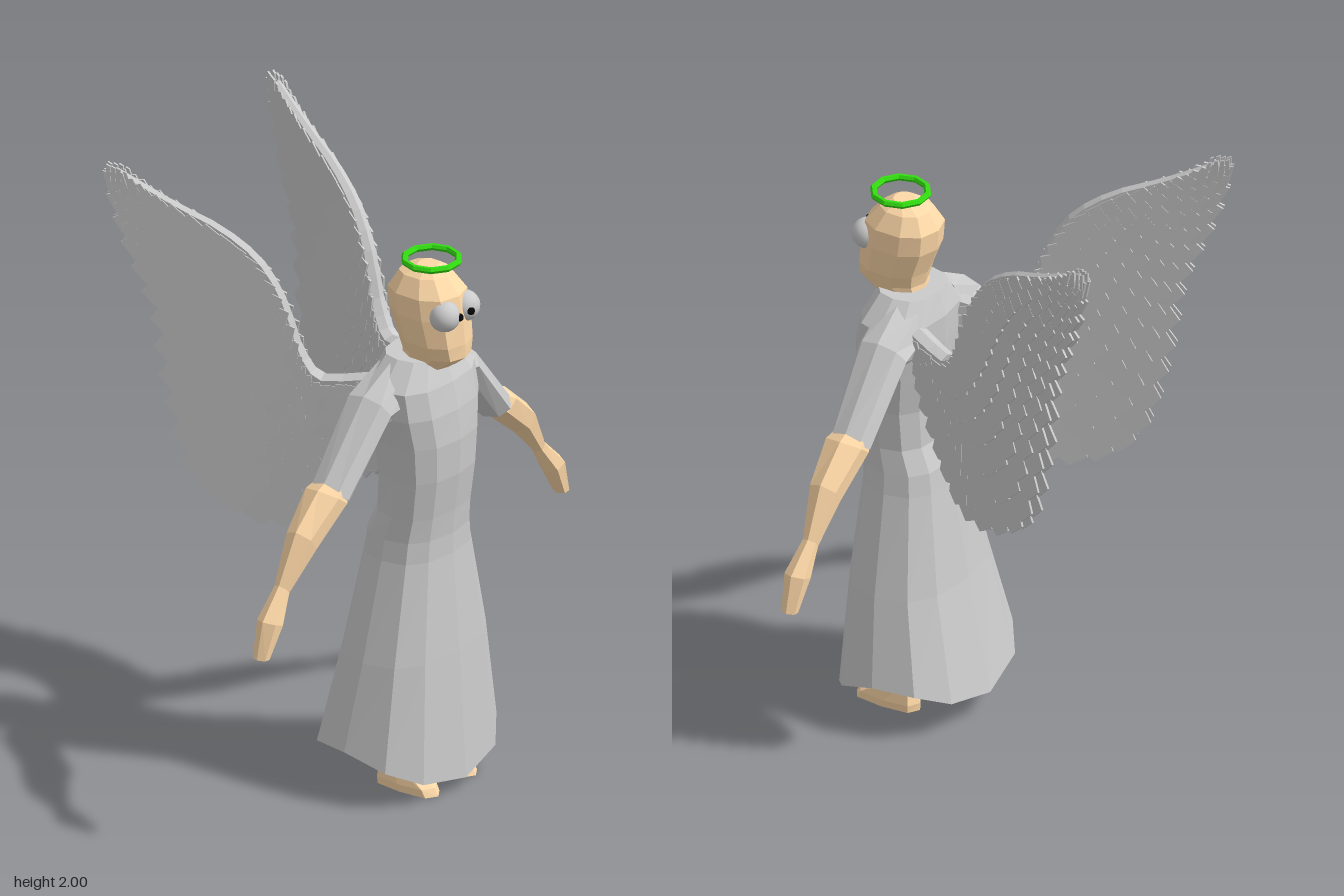
import * as THREE from 'three';
import { mergeGeometries } from 'three/addons/utils/BufferGeometryUtils.js';

const V = (x, y, z) => new THREE.Vector3(x, y, z);
const mat = (color, side = THREE.FrontSide) =>
  new THREE.MeshStandardMaterial({ color, flatShading: true, side });
const grey = mat(0xcccccc), cloth = mat(0xcccccc, THREE.DoubleSide);
const skin = mat(0xffd9a8), green = mat(0x33dd11), black = mat(0x080808);

function add(group, name, geometry, material) {
  const mesh = new THREE.Mesh(geometry, material);
  mesh.name = name;
  group.add(mesh);
  return mesh;
}

// Skin a list of equal-length rings, with optional fan caps
function loft(rings, capStart = true, capEnd = true) {
  const pos = [], n = rings[0].length;
  const tri = (...pts) => pts.forEach((p) => pos.push(p.x, p.y, p.z));
  for (let i = 0; i < rings.length - 1; i++) {
    for (let j = 0; j < n; j++) {
      const k = (j + 1) % n, lo = rings[i], hi = rings[i + 1];
      tri(lo[j], lo[k], hi[k]);
      tri(lo[j], hi[k], hi[j]);
    }
  }
  const a = rings[0], b = rings[rings.length - 1];
  for (let j = 1; j < n - 1; j++) {
    if (capStart) tri(a[0], a[j + 1], a[j]);
    if (capEnd) tri(b[0], b[j], b[j + 1]);
  }
  const g = new THREE.BufferGeometry();
  g.setAttribute('position', new THREE.Float32BufferAttribute(pos, 3));
  g.computeVertexNormals();
  return g;
}

// Horizontal superellipse ring; y may depend on the point index
function ring(cx, y, w, zf, zb, n, pow = 0.8) {
  const soft = (v) => Math.sign(v) * Math.pow(Math.abs(v) < 1e-6 ? 0 : Math.abs(v), pow);
  return Array.from({ length: n }, (_, j) => {
    const a = (j / n) * Math.PI * 2;
    return V(cx + w * soft(Math.sin(a)), typeof y === 'function' ? y(j) : y,
      (zf + zb) / 2 + ((zf - zb) / 2) * soft(Math.cos(a)));
  });
}

// Ring spanning two edge points, with a given half depth in z
function limbRing([ux, uy, lx, ly, z, hz], n) {
  return Array.from({ length: n }, (_, j) => {
    const a = (j / n) * Math.PI * 2, c = Math.cos(a) / 2;
    return V((ux + lx) / 2 + (ux - lx) * c, (uy + ly) / 2 + (uy - ly) * c, z + hz * Math.sin(a));
  });
}

// Mirror a non-indexed geometry across x = 0, keeping faces outward
function mirrored(geometry) {
  const g = geometry.clone().scale(-1, 1, 1), p = g.attributes.position;
  for (let i = 0; i < p.count; i += 3) {
    const b = V().fromBufferAttribute(p, i + 1), c = V().fromBufferAttribute(p, i + 2);
    p.setXYZ(i + 1, c.x, c.y, c.z);
    p.setXYZ(i + 2, b.x, b.y, b.z);
  }
  g.computeVertexNormals();
  return g;
}

function addPair(group, name, geometry, material) {
  add(group, 'left' + name, geometry, material);
  add(group, 'right' + name, mirrored(geometry), material);
}

// Wing leading and trailing edges as [z, y], laid out in a flat wing plane
const edge = (pts) => new THREE.CatmullRomCurve3(pts.map(([z, y]) => V((0.24 - z) / 0.94, y, 0)));
const leading = edge([[0.27, 1.375], [0.11, 1.355], [0.05, 1.44], [0.0, 1.6], [-0.07, 1.725],
  [-0.18, 1.815], [-0.34, 1.89], [-0.5, 1.975]]);
const trailing = edge([[0.24, 1.2], [0.14, 1.0], [0.0, 0.84], [-0.23, 0.92], [-0.33, 1.2],
  [-0.38, 1.5], [-0.48, 1.75], [-0.55, 1.985]]);
const wingPoint = (s, t) => leading.getPoint(t).lerp(trailing.getPoint(t), s);
const placeWing = (g) => g.rotateY(1.22).translate(0.135, 0, 0.24);

function featherGeometry(l, w) {
  const shape = new THREE.Shape([[0, -0.4], [0.75, -0.5], [1, -0.15], [0.85, 0.5], [0, 0.4]]
    .map(([x, y]) => new THREE.Vector2(x * l, y * w)));
  return new THREE.ExtrudeGeometry(shape, { depth: 0.007, bevelEnabled: false })
    .translate(0, 0, -0.0035);
}

// Overlapping rows of feathers on both faces of the wing
function feathers() {
  const rows = 7, cols = 22, list = [];
  for (let k = 0; k < rows; k++) {
    const s1 = (k + 1) / rows, s0 = Math.max(0, s1 - 1.8 / rows);
    for (let j = 0; j < cols; j++) {
      const t = (j + (k % 2 ? 0.75 : 0.25)) / cols;
      const base = wingPoint(s0, t), dir = wingPoint(s1, t).sub(base);
      const gap = wingPoint(s1, Math.max(0, t - 0.5 / cols))
        .distanceTo(wingPoint(s1, Math.min(1, t + 0.5 / cols)));
      const w = Math.min(0.1, Math.max(0.03, gap * 1.3));
      for (const side of [1, -1]) {
        const lift = (0.008 + 0.022 * (1 - s0)) * (1 - 0.5 * t);
        list.push(featherGeometry(dir.length(), w)
          .rotateY(-side * 0.06)
          .rotateZ(Math.atan2(dir.y, dir.x))
          .translate(base.x, base.y, side * lift));
      }
    }
  }
  return placeWing(mergeGeometries(list));
}

// Tapering bone along the leading edge
function wingBone() {
  const rings = [], steps = 16;
  for (let i = 0; i <= steps; i++) {
    const t = i / steps, p = leading.getPoint(t), d = leading.getTangent(t);
    const r = 0.028 - 0.016 * t;
    rings.push(Array.from({ length: 6 }, (_, j) => {
      const a = (j / 6) * Math.PI * 2, c = Math.cos(a) * r;
      return V(p.x - d.y * c, p.y + d.x * c, Math.sin(a) * r * 1.25);
    }));
  }
  return placeWing(loft(rings));
}

export function createModel() {
  const model = new THREE.Group();
  model.name = 'angel';

  // Robe with a scalloped hem, open below
  const hem = [0.04, 0.075, 0.13, 0.18, 0.17, 0.12, 0.08];
  const robe = [
    [(j) => hem[Math.min(j, 12 - j)], 0.32, 0.55, 0.085], [0.47, 0.262, 0.525, 0.165],
    [0.8, 0.185, 0.5, 0.22], [0.87, 0.175, 0.5, 0.23], [0.95, 0.167, 0.507, 0.265],
    [1.08, 0.17, 0.525, 0.27], [1.2, 0.18, 0.53, 0.255], [1.3, 0.2, 0.52, 0.25],
    [1.39, 0.2, 0.5, 0.25], [1.47, 0.115, 0.465, 0.275],
  ];
  add(model, 'robe', loft(robe.map((r) => ring(0, ...r, 12)), false, true), cloth);

  // Sleeves and arms: upper edge x, y, lower edge x, y, centre z, half depth
  const sleeve = [[0.1, 1.47, 0.12, 1.25, 0.35, 0.09], [0.25, 1.385, 0.2, 1.285, 0.34, 0.09],
    [0.46, 1.14, 0.37, 1.08, 0.335, 0.072]];
  addPair(model, 'Sleeve', loft(sleeve.map((r) => limbRing(r, 8))), grey);
  const arm = [[0.44, 1.16, 0.37, 1.11, 0.335, 0.06], [0.477, 1.145, 0.39, 1.08, 0.335, 0.075],
    [0.59, 1.045, 0.53, 0.965, 0.335, 0.055], [0.67, 0.89, 0.64, 0.855, 0.33, 0.027],
    [0.76, 0.8, 0.685, 0.77, 0.335, 0.042], [0.79, 0.68, 0.745, 0.675, 0.335, 0.028]];
  addPair(model, 'Arm', loft(arm.map((r) => limbRing(r, 6))), skin);

  // Legs with feet
  const leg = [[0, 0.046, 0.515, 0.282], [0.025, 0.048, 0.5, 0.282], [0.1, 0.036, 0.38, 0.305],
    [0.2, 0.038, 0.385, 0.3], [0.6, 0.06, 0.42, 0.28]];
  addPair(model, 'Leg', loft(leg.map((r) => ring(0.096, ...r, 8, 0.65))), skin);

  // Head and neck
  const head = [[1.42, 0.07, 0.46, 0.31], [1.455, 0.075, 0.51, 0.32], [1.485, 0.085, 0.548, 0.325],
    [1.53, 0.1, 0.547, 0.315], [1.62, 0.109, 0.537, 0.28], [1.69, 0.108, 0.523, 0.275],
    [1.745, 0.075, 0.475, 0.31], [1.77, 0.035, 0.435, 0.37]];
  add(model, 'head', loft(head.map((r) => ring(0, ...r, 10, 0.85))), skin);

  // Eyes and pupils
  const eyeWhite = new THREE.MeshStandardMaterial({ color: 0xcccccc });
  for (const s of [1, -1]) {
    const side = s > 0 ? 'left' : 'right';
    add(model, side + 'Eye', new THREE.SphereGeometry(0.05, 16, 12), eyeWhite)
      .position.set(s * 0.051, 1.635, 0.505);
    add(model, side + 'Pupil', new THREE.SphereGeometry(0.013, 10, 8), black)
      .position.set(s * 0.029, 1.635, 0.547);
  }

  // Halo
  add(model, 'halo', new THREE.TorusGeometry(0.087, 0.011, 6, 10).rotateX(Math.PI / 2), green)
    .position.set(0, 1.788, 0.415);

  // Wings
  addPair(model, 'WingBone', wingBone(), grey);
  addPair(model, 'WingFeathers', feathers(), grey);
  return model;
}
